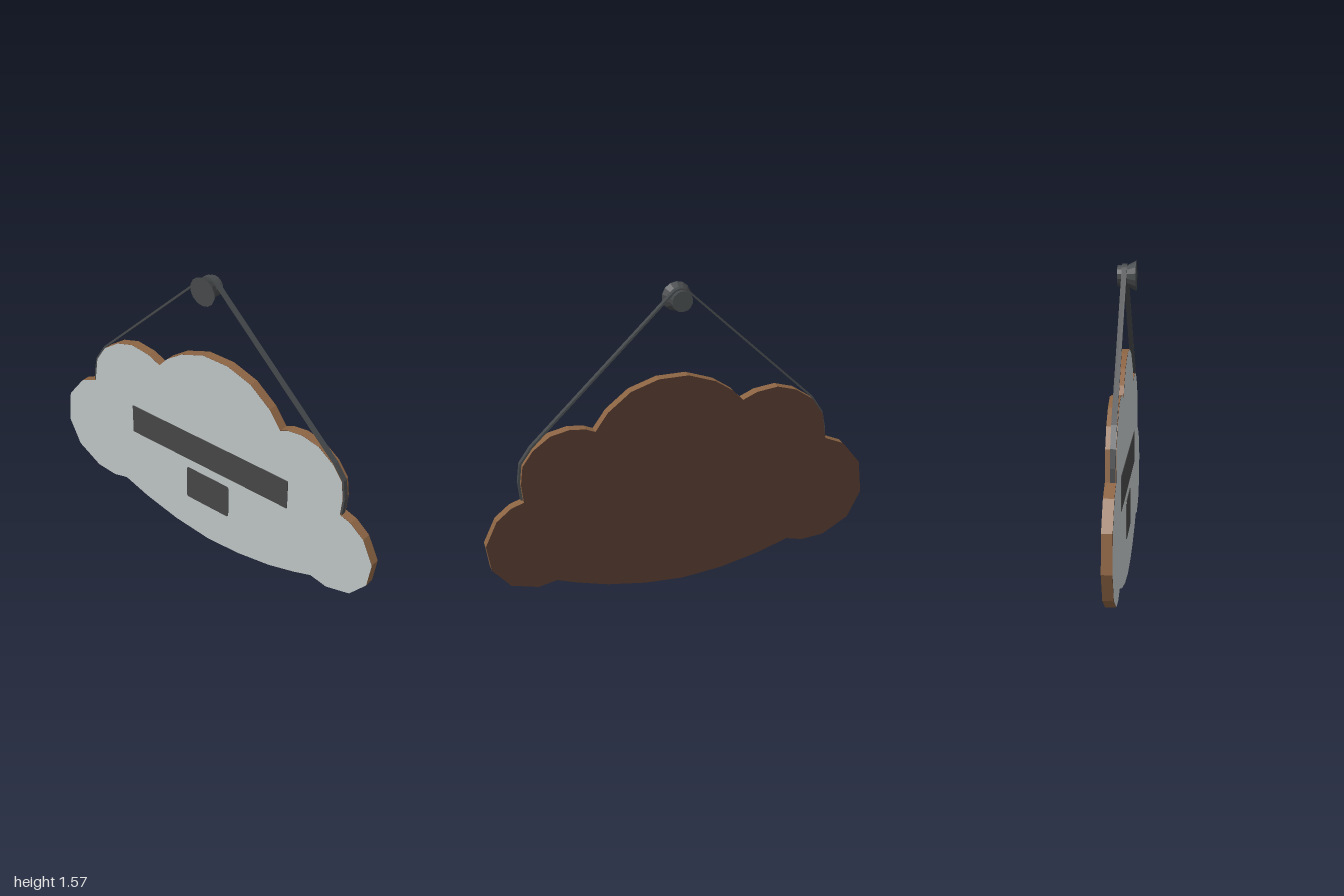
import * as THREE from 'three';

const material = (name, color) => {
  const m = new THREE.MeshStandardMaterial({ color });
  m.name = name;
  return m;
};
const V = (x, y) => new THREE.Vector2(x, y);

// Cloud outline, clockwise from the far left
const OUTLINE = [
  [-1, 0.33], [-0.98, 0.505], [-0.88, 0.63], [-0.777, 0.675], [-0.755, 0.815], [-0.695, 0.905],
  [-0.6, 0.97], [-0.5, 1], [-0.39, 0.987], [-0.315, 0.955], [-0.265, 1.01], [-0.17, 1.075],
  [-0.03, 1.125], [0.12, 1.125], [0.26, 1.08], [0.375, 0.99], [0.44, 0.9], [0.485, 0.92],
  [0.565, 0.93], [0.66, 0.91], [0.745, 0.85], [0.8, 0.775], [0.812, 0.68], [0.803, 0.585],
  [0.865, 0.565], [0.94, 0.505], [1, 0.38], [0.98, 0.245], [0.89, 0.14], [0.755, 0.105],
  [0.66, 0.125], [0.56, 0.09], [0.4, 0.045], [0.2, 0.013], [0, 0.002], [-0.22, 0.025],
  [-0.43, 0.073], [-0.58, 0.123], [-0.67, 0.1], [-0.79, 0.11], [-0.93, 0.19],
].map(([x, y]) => V(x, y));

// Closed ribbon outline of constant width along an open polyline
function ribbonShape(path, width) {
  const sides = [[], []];
  path.forEach((p, i) => {
    const a = path[Math.max(i - 1, 0)], b = path[Math.min(i + 1, path.length - 1)];
    const t = b.clone().sub(a).normalize();
    const n = V(-t.y, t.x).multiplyScalar(width / 2);
    sides[0].push(p.clone().add(n));
    sides[1].unshift(p.clone().sub(n));
  });
  return new THREE.Shape([...sides[0], ...sides[1]]);
}

export function createModel() {
  const group = new THREE.Group();
  const face = material('pale grey face', 0xbcc2c2);
  const edge = material('wood edge', 0x8c6443);
  const back = material('dark wood back', 0x4f362b);
  const dark = material('charcoal plate', 0x454545);
  const metal = material('dark grey hanger', 0x45484a);

  const add = (name, geometry, mat, z = 0) => {
    const mesh = new THREE.Mesh(geometry, mat);
    mesh.name = name;
    mesh.position.z = z;
    group.add(mesh);
    return mesh;
  };

  // Wooden cloud board with its face panel
  const cloud = new THREE.Shape(OUTLINE);
  add('board', new THREE.ExtrudeGeometry(cloud, { depth: 0.049, bevelEnabled: false }), [back, edge], -0.045);
  add('facePanel', new THREE.ShapeGeometry(cloud), face, 0.005);

  // Long plate and small plate with clipped corners
  const plate = (name, x0, x1, y0, y1, c) => {
    const shape = new THREE.Shape([
      V(x0 + c, y0), V(x1 - c, y0), V(x1, y0 + c), V(x1, y1 - c),
      V(x1 - c, y1), V(x0 + c, y1), V(x0, y1 - c), V(x0, y0 + c),
    ]);
    add(name, new THREE.ExtrudeGeometry(shape, { depth: 0.003, bevelEnabled: false }), dark, 0.005);
  };
  plate('longPlate', -0.51, 0.5, 0.465, 0.63, 0.002);
  plate('smallPlate', -0.14, 0.135, 0.22, 0.41, 0.008);

  // Strap: hugs both shoulders of the cloud and loops over the knob
  const knobY = 1.498;
  const path = [V(-0.78, 0.675), V(-0.776, 0.735), V(-0.759, 0.817), V(-0.699, 0.909)];
  for (let i = 0; i <= 6; i++) {
    const a = Math.PI * (0.75 - i / 12);
    path.push(V(Math.cos(a) * 0.054, knobY + Math.sin(a) * 0.054));
  }
  path.push(V(0.749, 0.854), V(0.804, 0.777), V(0.817, 0.68), V(0.808, 0.587));
  add('strap', new THREE.ExtrudeGeometry(ribbonShape(path, 0.01), { depth: 0.025, bevelEnabled: false }), metal, -0.023);

  // Wall knob: straight stem flaring to a flat front
  const profile = [V(0, -0.045), V(0.051, -0.045), V(0.051, 0.003), V(0.073, 0.045), V(0, 0.045)];
  const knob = new THREE.LatheGeometry(profile, 14).toNonIndexed();
  knob.computeVertexNormals();
  knob.rotateX(Math.PI / 2);
  add('knob', knob, metal).position.y = knobY;

  return group;
}
